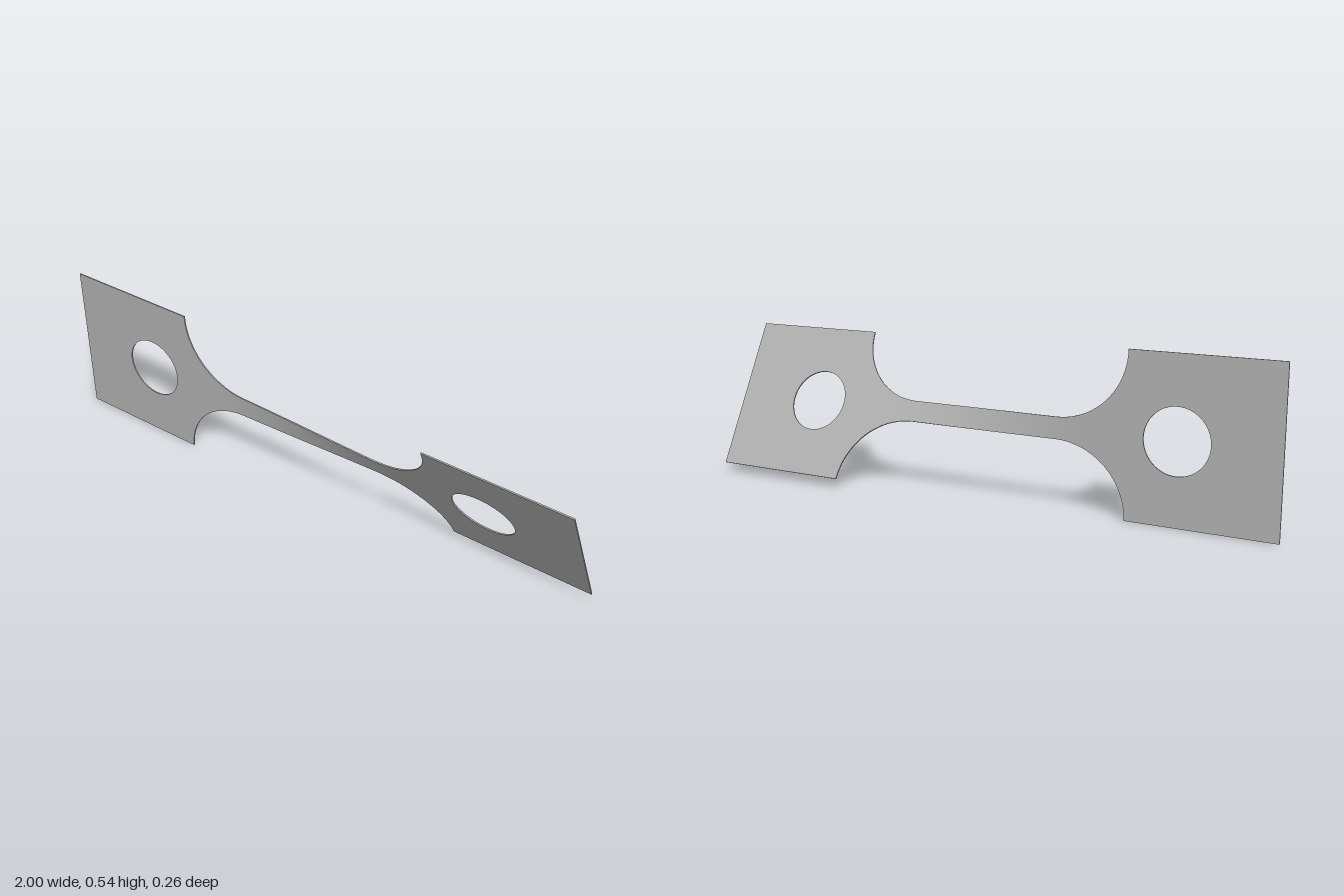
import * as THREE from 'three';

const HALF = 0.271;      // half height of the end tabs
const NECK = 0.036;      // half height of the gauge strip
const THICK = 0.0045;
const TAB_X = 0.508;     // where the tabs meet the fillets
const FILLET_X = 0.265;  // where the fillets meet the gauge strip
const MID_Y = 0.271;
const START = 0.01, END = 0.49; // twist angles of the two ends

// Twist angle along the length: nearly linear, easing out at both fillets
function twist(x) {
  const t = THREE.MathUtils.clamp((x + 0.36) / 0.72, 0, 1);
  const eased = 0.5 * t + 0.5 * t * t * (3 - 2 * t);
  return START + (END - START) * eased;
}

// Flat square tab with a round hole, turned rigidly to its end's angle
function makeTab(side, material) {
  const shape = new THREE.Shape();
  const a = side < 0 ? -1 : TAB_X, b = side < 0 ? -TAB_X : 1;
  shape.moveTo(a, -HALF);
  shape.lineTo(b, -HALF);
  shape.lineTo(b, HALF);
  shape.lineTo(a, HALF);
  shape.closePath();
  const hole = new THREE.Path();
  hole.absarc(side < 0 ? -0.672 : 0.667, 0, 0.108, 0, Math.PI * 2, true);
  shape.holes.push(hole);
  const geometry = new THREE.ExtrudeGeometry(shape, { depth: THICK, bevelEnabled: false, curveSegments: 48 });
  geometry.translate(0, 0, -THICK / 2);
  geometry.rotateX(twist(side));
  const mesh = new THREE.Mesh(geometry, material);
  mesh.name = side < 0 ? 'rightTab' : 'leftTab';
  return mesh;
}

// Twisted gauge strip with its four fillets, swept through stations along x
function makeGauge(material) {
  const stations = [];
  const arc = 20, straight = 32, rows = 8;
  for (let i = 0; i <= arc; i++) {
    const a = (i / arc) * Math.PI / 2;
    stations.push([-FILLET_X - (TAB_X - FILLET_X) * Math.cos(a), HALF - (HALF - NECK) * Math.sin(a)]);
  }
  const mirrored = stations.map(([x, h]) => [-x, h]).reverse();
  for (let i = 1; i < straight; i++) {
    stations.push([-FILLET_X + (2 * FILLET_X * i) / straight, NECK]);
  }
  stations.push(...mirrored);

  const columns = stations.length - 1;
  const geometry = new THREE.BoxGeometry(columns, 2, THICK, columns, rows, 1);
  // Drop the two end caps, which would lie inside the plate
  geometry.setIndex(Array.from(geometry.index.array).slice(rows * 12));
  const p = geometry.attributes.position;
  for (let i = 0; i < p.count; i++) {
    const [x, h] = stations[Math.round(p.getX(i) + columns / 2)];
    const y = p.getY(i) * h, z = p.getZ(i);
    const c = Math.cos(twist(x)), s = Math.sin(twist(x));
    p.setXYZ(i, x, y * c - z * s, y * s + z * c);
  }
  geometry.computeVertexNormals();
  const mesh = new THREE.Mesh(geometry, material);
  mesh.name = 'twistedGauge';
  return mesh;
}

export function createModel() {
  const steel = new THREE.MeshStandardMaterial({ color: 0xb3b3b3 });
  steel.name = 'grey steel';
  const model = new THREE.Group();
  model.name = 'twistedTestStrip';
  const plate = new THREE.Group();
  plate.name = 'plate';
  plate.position.y = MID_Y;
  plate.add(makeTab(-1, steel), makeGauge(steel), makeTab(1, steel));
  model.add(plate);
  return model;
}
